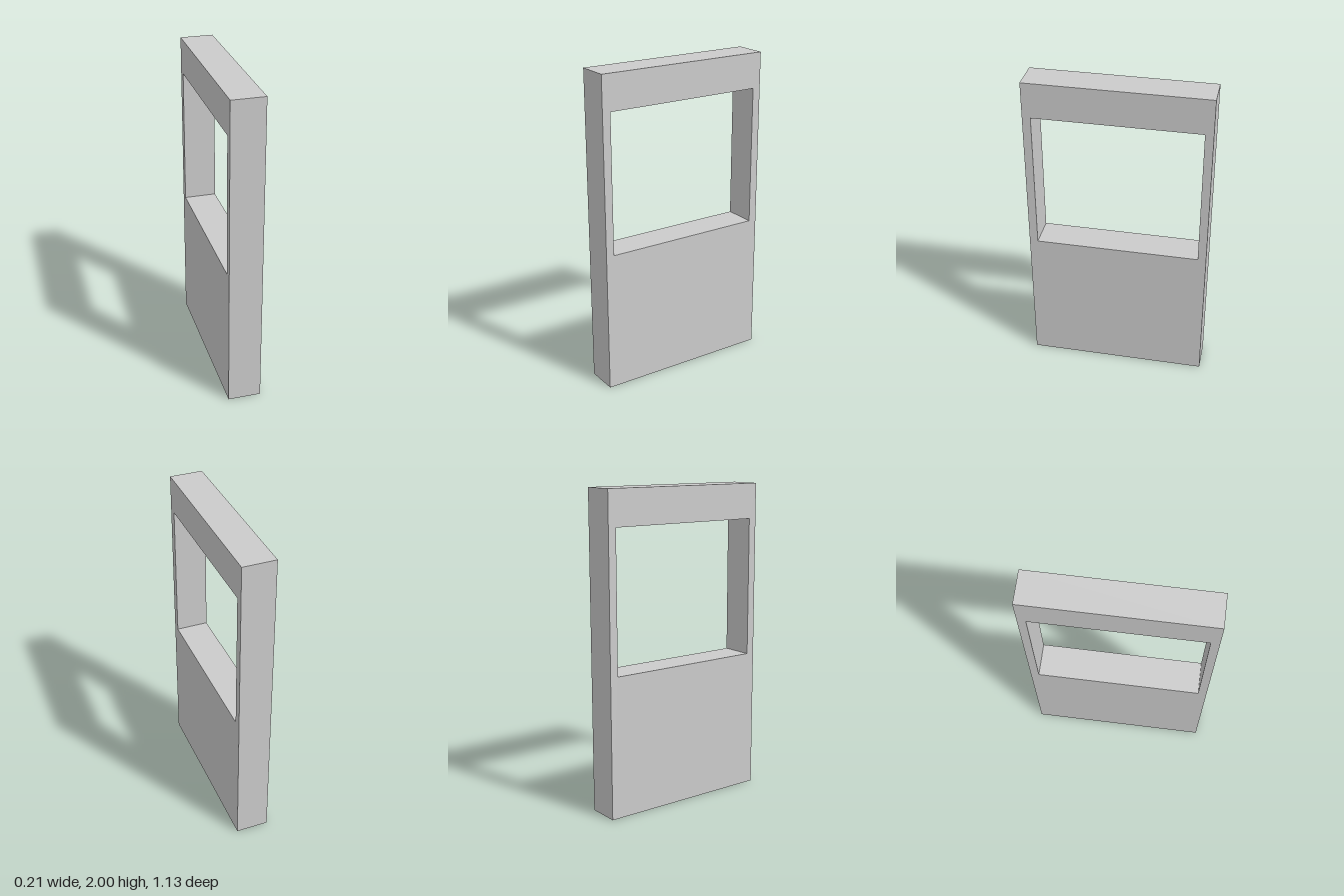
import * as THREE from 'three';

const HALF_WIDTH = 0.565, HEIGHT = 2, THICKNESS = 0.207;
const OPENING = { halfWidth: 0.513, bottom: 0.893, top: 1.777 };

// Corners of a rectangle centred across the panel
function rectangle(halfWidth, bottom, top) {
  return [[-1, bottom], [1, bottom], [1, top], [-1, top]]
    .map(([side, y]) => new THREE.Vector2(side * halfWidth, y));
}

export function createModel() {
  const model = new THREE.Group();
  model.name = 'wallPanel';

  // Upright panel with a window opening cut through it
  const outline = new THREE.Shape(rectangle(HALF_WIDTH, 0, HEIGHT));
  outline.holes.push(new THREE.Path(
    rectangle(OPENING.halfWidth, OPENING.bottom, OPENING.top).reverse()));

  const geometry = new THREE.ExtrudeGeometry(outline, { depth: THICKNESS, bevelEnabled: false });
  geometry.translate(0, 0, -THICKNESS / 2);
  geometry.rotateY(Math.PI / 2); // broad faces look along x

  const panel = new THREE.Mesh(geometry, new THREE.MeshStandardMaterial({ color: 0xcccccc }));
  panel.name = 'panelWithWindowOpening';
  model.add(panel);
  return model;
}
